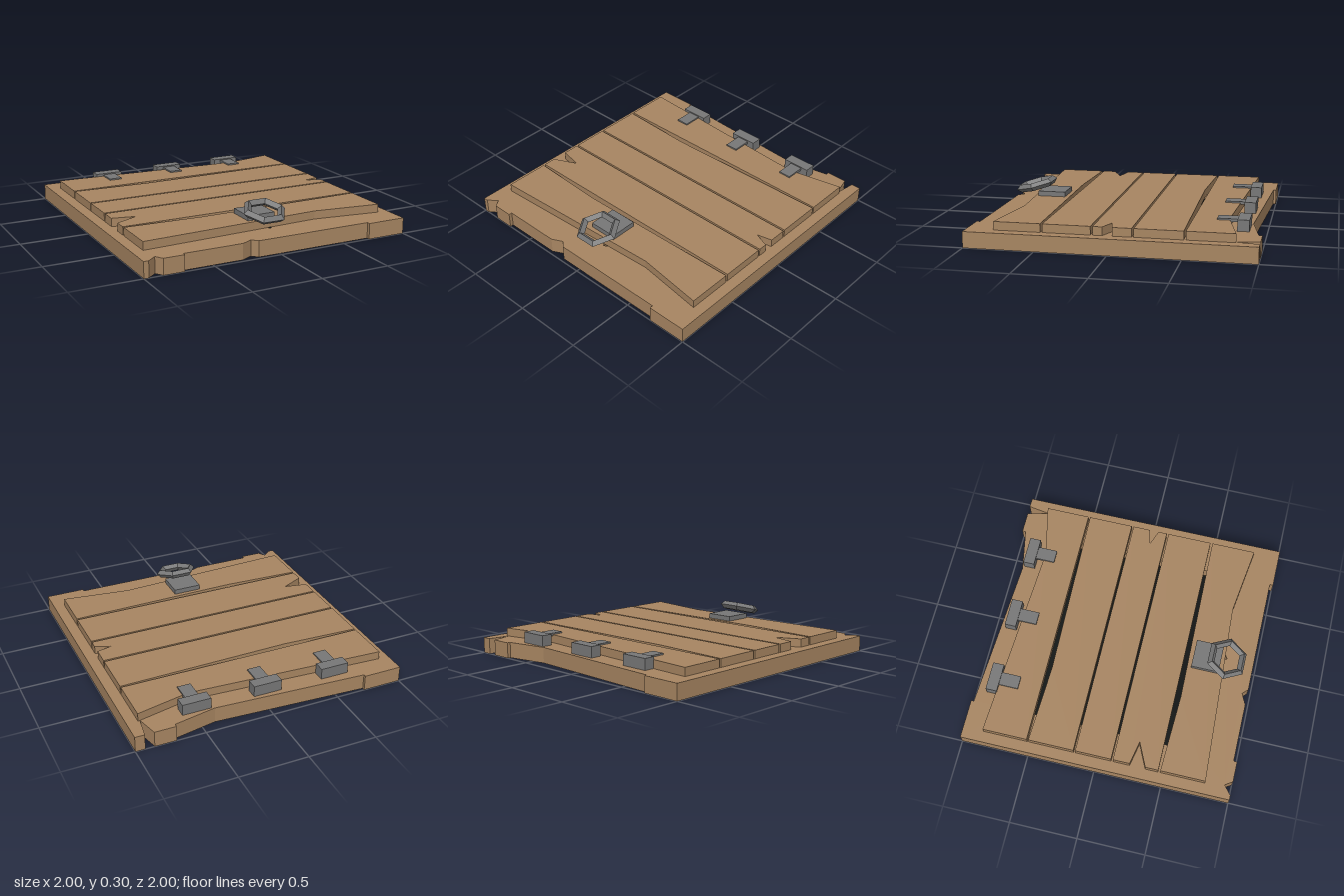
import * as THREE from 'three';

const material = (name, color) => {
  const m = new THREE.MeshStandardMaterial({ color });
  m.name = name;
  return m;
};

// Turn [x, z] outline points into a flat slab between two heights
const path = (points, Type) => new Type(points.map(([x, z]) => new THREE.Vector2(x, -z)));
function slab(outline, y0, y1, hole) {
  const shape = path(outline, THREE.Shape);
  if (hole) shape.holes.push(path(hole, THREE.Path));
  const geo = new THREE.ExtrudeGeometry(shape, { depth: y1 - y0, bevelEnabled: false });
  return geo.rotateX(-Math.PI / 2).translate(0, y0, 0);
}

// Box given by its minimum and maximum corners
function block(x0, x1, y0, y1, z0, z1) {
  return new THREE.BoxGeometry(x1 - x0, y1 - y0, z1 - z0)
    .translate((x0 + x1) / 2, (y0 + y1) / 2, (z0 + z1) / 2);
}

export function createModel() {
  const wood = material('wood', 0xa88662);
  const iron = material('iron', 0x787878);
  const dark = material('darkness', 0x0a0e0d);
  const model = new THREE.Group();
  model.name = 'trapdoor';
  const add = (name, geo, mat, parent = model) => {
    const mesh = new THREE.Mesh(geo, mat);
    mesh.name = name;
    parent.add(mesh);
    return mesh;
  };

  // Chipped frame around a square opening
  const frameOutline = [
    [-1, 1], [-0.965, 1], [-0.9, 0.945], [-0.865, 1], [-0.715, 1], [-0.715, 0.975],
    [-0.28, 0.975], [-0.2, 0.935], [-0.16, 0.975], [0.71, 0.975], [0.71, 1], [1, 1],
    [1, -1], [0.93, -1], [0.905, -0.84], [0.865, -1], [0.71, -1], [0.71, -0.975],
    [0.4, -0.915], [-0.715, -0.98], [-0.715, -1], [-1, -1],
  ];
  const opening = [
    [-0.71, -0.71], [0.71, -0.71], [0.71, 0.71], [0.13, 0.71], [0.04, 0.775], [0.01, 0.71], [-0.71, 0.71],
  ];
  add('frame', slab(frameOutline, 0, 0.115, opening), wood);

  // Dark panel closing the opening
  add('darkPanel', block(-0.73, 0.73, 0.014, 0.02, -0.73, 0.79), dark);

  // Five worn planks, back to front
  const w = 0.92;
  const planks = [
    [[-w, -0.845], [0.53, -0.76], [w, -0.845], [w, -0.515], [-w, -0.515]],
    [[-w, -0.502], [-0.35, -0.475], [w, -0.502], [w, -0.167], [-w, -0.167]],
    [[-w, -0.153], [w, -0.153], [w, -0.02], [0.81, 0.005], [w, 0.047], [w, 0.113], [-w, 0.113]],
    [[-w, 0.127], [w, 0.127], [w, 0.46], [-w, 0.46], [-w, 0.365], [-0.75, 0.285], [-w, 0.25]],
    [[-w, 0.475], [-0.35, 0.5], [w, 0.475], [w, 0.805], [0.42, 0.737], [-w, 0.805]],
  ];
  planks.forEach((p, i) => add(`plank${i + 1}`, slab(p, 0.115, 0.175), wood));

  // Three hinges along the back
  for (const x of [-0.52, 0, 0.525]) {
    const hinge = new THREE.Group();
    hinge.name = 'hinge';
    hinge.position.x = x;
    add('hingeBlock', block(-0.104, 0.104, 0.11, 0.195, -0.905, -0.822), iron, hinge);
    add('hingeStrap', block(-0.048, 0.048, 0.165, 0.186, -0.822, -0.678), iron, hinge);
    model.add(hinge);
  }

  // Pull plate and tilted six-sided ring
  add('pullPlate', block(-0.11, 0.1, 0.175, 0.211, 0.525, 0.73), iron);
  const ringGeo = new THREE.TorusGeometry(0.132, 0.029, 4, 6).toNonIndexed();
  ringGeo.computeVertexNormals();
  const ring = add('pullRing', ringGeo, iron);
  ring.rotation.x = -Math.PI / 2 + 0.26;
  ring.position.set(-0.005, 0.243, 0.77);

  return model;
}
